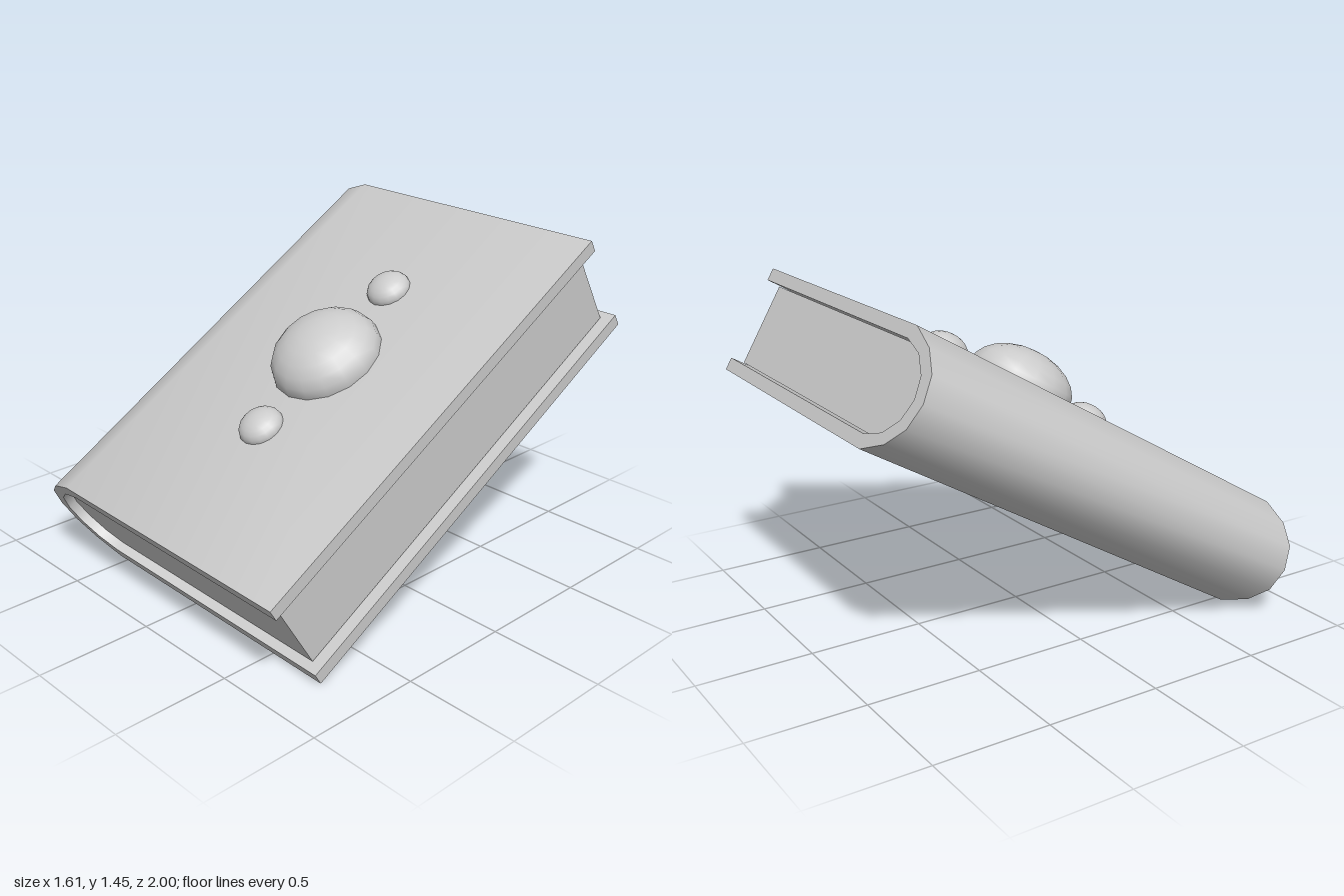
import * as THREE from 'three';
import { toCreasedNormals } from 'three/addons/utils/BufferGeometryUtils.js';

const material = new THREE.MeshStandardMaterial({ color: 0xcccccc });

// Mirror the upper half of a profile (right edge to spine apex) to the lower half
function mirrored(half) {
  return [...half, ...half.slice(0, -1).reverse().map(([x, y]) => [x, -y])];
}

// Extrude a closed outline along z, centred
function slab(name, points, length) {
  const shape = new THREE.Shape(points.map(([x, y]) => new THREE.Vector2(x, y)));
  const geometry = new THREE.ExtrudeGeometry(shape, { depth: length, bevelEnabled: false });
  geometry.translate(0, 0, -length / 2);
  const mesh = new THREE.Mesh(toCreasedNormals(geometry, 0.7), material);
  mesh.name = name;
  return mesh;
}

// Flattened sphere half sunk into the front cover
function stud(name, radius, z) {
  const mesh = new THREE.Mesh(new THREE.SphereGeometry(radius, 16, 12), material);
  mesh.name = name;
  mesh.scale.y = 0.665;
  mesh.position.set(0.095, 0.2425, z);
  return mesh;
}

export function createModel() {
  const model = new THREE.Group();
  model.name = 'book';

  const book = new THREE.Group();
  book.name = 'tiltedBook';

  // Cover: one folded sheet wrapping around the rounded spine
  const outer = mirrored([[0.79, 0.2425], [-0.53, 0.2425], [-0.67, 0.185], [-0.76, 0.1035], [-0.79, 0]]);
  const inner = mirrored([[0.79, 0.187], [-0.51, 0.187], [-0.62, 0.153], [-0.698, 0.085], [-0.725, 0]]);
  book.add(slab('cover', [...outer, ...inner.reverse()], 2.022));

  // Page block, set back from the cover's three open edges
  const pages = mirrored([[0.74, 0.182], [-0.51, 0.182], [-0.615, 0.15], [-0.692, 0.083], [-0.72, 0]]);
  book.add(slab('pages', pages, 1.942));

  // Raised ornaments on the front cover
  book.add(stud('largeStud', 0.245, -0.05));
  book.add(stud('upperStud', 0.0975, -0.471));
  book.add(stud('lowerStud', 0.0975, 0.369));

  // Lean the book back with a slight twist
  book.rotation.set(0.532, -0.0127, 0);
  book.position.y = 0.728;
  model.add(book);
  return model;
}
